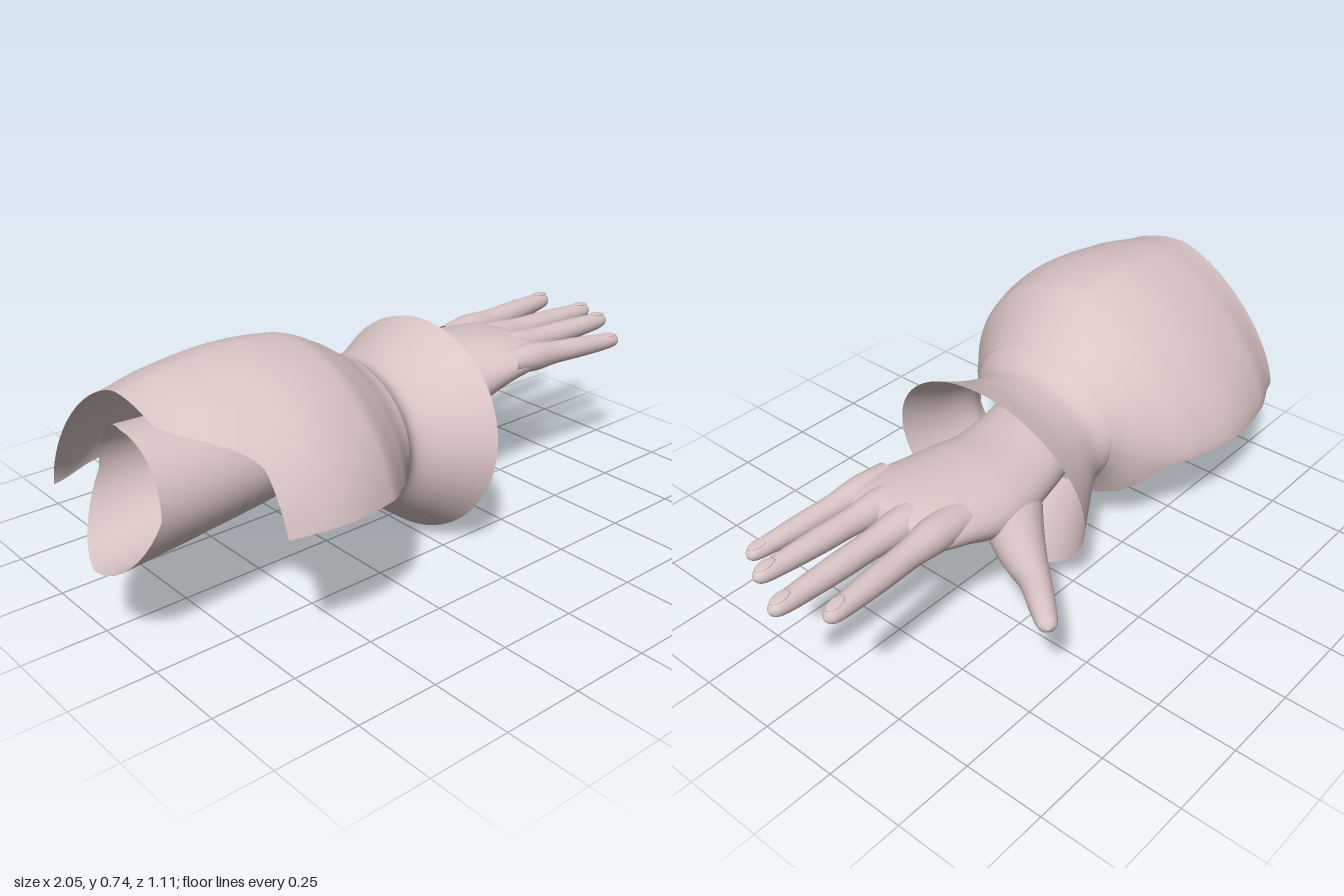
import * as THREE from 'three';

const skin = new THREE.MeshStandardMaterial({ color: 0xdac4c4, side: THREE.DoubleSide });
skin.name = 'pale rose';
const rad = THREE.MathUtils.degToRad;
const smooth = THREE.MathUtils.smoothstep;

// Smooth surface from f(u, v) -> [x, y, z]; closed wraps around v
function surface(nu, nv, f, closed) {
  const pos = [], idx = [], w = closed ? nv : nv + 1;
  for (let i = 0; i <= nu; i++)
    for (let j = 0; j < w; j++) pos.push(...f(i / nu, j / nv));
  for (let i = 0; i < nu; i++)
    for (let j = 0; j < nv; j++) {
      const a = i * w + j, b = i * w + (j + 1) % w;
      idx.push(a, a + w, b, b, a + w, b + w);
    }
  const g = new THREE.BufferGeometry();
  g.setAttribute('position', new THREE.Float32BufferAttribute(pos, 3));
  g.setIndex(idx);
  g.computeVertexNormals();
  return g;
}

// Catmull-Rom through rows of any width, t in 0..1
function sample(rows, t) {
  const n = rows.length - 1, i = Math.min(Math.floor(t * n), n - 1), s = t * n - i;
  const at = k => rows[Math.max(0, Math.min(n, k))];
  return rows[0].map((_, c) => {
    const a = at(i - 1)[c], b = at(i)[c], d = at(i + 1)[c], e = at(i + 2)[c];
    return b + 0.5 * s * (d - a + s * (2 * a - 5 * b + 4 * d - e + s * (3 * (b - d) + e - a)));
  });
}

// Same, but looked up by the first column (x)
function sampleX(rows, x) {
  const n = rows.length - 1;
  let i = 0;
  while (i < n - 1 && x > rows[i + 1][0]) i++;
  const s = (x - rows[i][0]) / (rows[i + 1][0] - rows[i][0]);
  return sample(rows, Math.max(0, Math.min(1, (i + s) / n)));
}

// Elliptical limb; rows are [x, y, z, half height, half width]
function limb(rows, nu, nv, shift = () => 0) {
  return surface(nu, nv, (u, v) => {
    const [x, y, z, h, w] = sample(rows, u);
    const p = sample(rows, Math.max(0, u - 0.01)), q = sample(rows, Math.min(1, u + 0.01));
    const dx = q[0] - p[0], dz = q[2] - p[2], l = Math.hypot(dx, dz) || 1;
    const a = v * Math.PI * 2, c = Math.cos(a) * w;
    return [x - dz / l * c + shift(u, a), y + Math.sin(a) * h, z + dx / l * c];
  }, true);
}

export function createModel() {
  const model = new THREE.Group();
  model.name = 'armWithSleeve';
  const add = (name, geometry, parent = model) => {
    const m = new THREE.Mesh(geometry, skin);
    m.name = name;
    parent.add(m);
    return m;
  };

  // Forearm, wrist and palm, with an uneven open end
  add('forearmAndPalm', limb([
    [-0.97, 0.425, 0.085, 0.18, 0.185],
    [-0.6, 0.435, 0.07, 0.15, 0.17],
    [-0.25, 0.42, 0.01, 0.115, 0.15],
    [0.08, 0.4, -0.05, 0.108, 0.172],
    [0.25, 0.397, -0.055, 0.116, 0.2],
    [0.4, 0.425, -0.04, 0.087, 0.197],
    [0.49, 0.436, -0.025, 0.066, 0.188],
    [0.54, 0.44, -0.02, 0.045, 0.165],
    [0.565, 0.44, -0.02, 0.001, 0.13],
  ], 80, 40, (u, a) => {
    const k = Math.max(0, 1 - u * 8);
    return k * (-0.03 * Math.sin(a) * (Math.sin(a) < 0 ? -1 : -0.5) * 1
      + 0.05 * Math.max(0, -Math.cos(a)) - (Math.sin(a) < 0 ? 0.06 * -Math.sin(a) : 0));
  }));

  // Thumb
  const hand = new THREE.Group();
  hand.name = 'digits';
  model.add(hand);
  add('thumb', limb([
    [0.1, 0.375, -0.1, 0.07, 0.08],
    [0.22, 0.352, -0.2, 0.078, 0.085],
    [0.31, 0.345, -0.31, 0.066, 0.068],
    [0.38, 0.345, -0.415, 0.046, 0.045],
    [0.44, 0.342, -0.49, 0.037, 0.037],
    [0.48, 0.338, -0.54, 0.028, 0.029],
    [0.492, 0.337, -0.554, 0.017, 0.018],
    [0.498, 0.336, -0.561, 0.001, 0.001],
  ], 40, 20), hand);

  // Fingers: name, base z, tip x, tip y, tip z, thickness
  const fingers = [
    ['indexFinger', -0.165, 0.93, 0.462, -0.212, 1.04],
    ['middleFinger', -0.075, 0.992, 0.445, -0.073, 1.04],
    ['ringFinger', 0.025, 0.94, 0.452, 0.047, 1],
    ['littleFinger', 0.113, 0.875, 0.425, 0.158, 0.92],
  ];
  for (const [name, z0, x1, y1, z1, k] of fingers) {
    const x0 = 0.4, y0 = 0.45;
    const steps = [[0, 0.04, 0.05], [0.2, 0.05, 0.049], [0.4, 0.04, 0.038], [0.6, 0.037, 0.036],
      [0.8, 0.032, 0.031], [0.93, 0.026, 0.026], [0.98, 0.017, 0.017], [1, 0.001, 0.001]];
    add(name, limb(steps.map(([t, h, w]) => [
      x0 + (x1 - x0) * t, y0 + (y1 - y0) * t, z0 + (z1 - z0) * t, h * k, w * k,
    ]), 40, 18), hand);
    // Nail laid on the fingertip
    const nail = add(name + 'Nail', new THREE.SphereGeometry(1, 14, 8), hand);
    nail.scale.set(0.032, 0.005, 0.018);
    nail.position.set(x1 - 0.04, y1 + 0.025 * k, z0 + (z1 - z0) * 0.93);
    nail.rotation.set(0, -Math.atan2(z1 - z0, x1 - x0), -0.12);
  }

  // Puffed sleeve, open below: [x, yc, zc, ry, rz, front angle, back angle, back power]
  const sleeve = [
    [-0.95, 0.3, 0.07, 0.4, 0.4, 15, 182, 1.3],
    [-0.8, 0.3, 0.07, 0.427, 0.46, 15, 181, 1.3],
    [-0.6, 0.3, 0.07, 0.444, 0.488, 14, 180, 1.3],
    [-0.42, 0.305, 0.065, 0.418, 0.447, 12, 182, 1.25],
    [-0.3, 0.325, 0.052, 0.338, 0.36, 6, 197, 1.12],
    [-0.2, 0.385, 0.045, 0.215, 0.27, -15, 262, 1],
  ];
  add('puffedSleeve', surface(44, 56, (u, v) => {
    const start = -0.95 + 0.18 * (1 - smooth(v, 0.13, 0.32));
    const x = start + (-0.2 - start) * u;
    const [, yc, zc, ry, rz, a0, a1, e] = sampleX(sleeve, x);
    const a = rad(a0 + (a1 - a0) * v), c = Math.cos(a), s = Math.sin(a);
    const pw = c < 0 ? e : 1;
    return [x, yc + ry * Math.sign(s) * Math.abs(s) ** pw, zc + rz * Math.sign(c) * Math.abs(c) ** pw];
  }, false));

  // Flared cuff with a slanted rim: [x, yc, zc, ry, rz, slant]
  const cuff = [
    [-0.2, 0.385, 0.045, 0.215, 0.27, 0],
    [-0.14, 0.348, 0.03, 0.214, 0.25, 0.015],
    [-0.04, 0.325, 0.027, 0.255, 0.3, 0.035],
    [0.07, 0.315, 0.025, 0.315, 0.365, 0.05],
  ];
  add('flaredCuff', surface(24, 56, (u, v) => {
    const [x, yc, zc, ry, rz, slant] = sample(cuff, u);
    const a = v * Math.PI * 2, s = Math.sin(a);
    return [x + slant * s, yc + ry * s, zc + rz * Math.cos(a)];
  }, true));

  return model;
}
